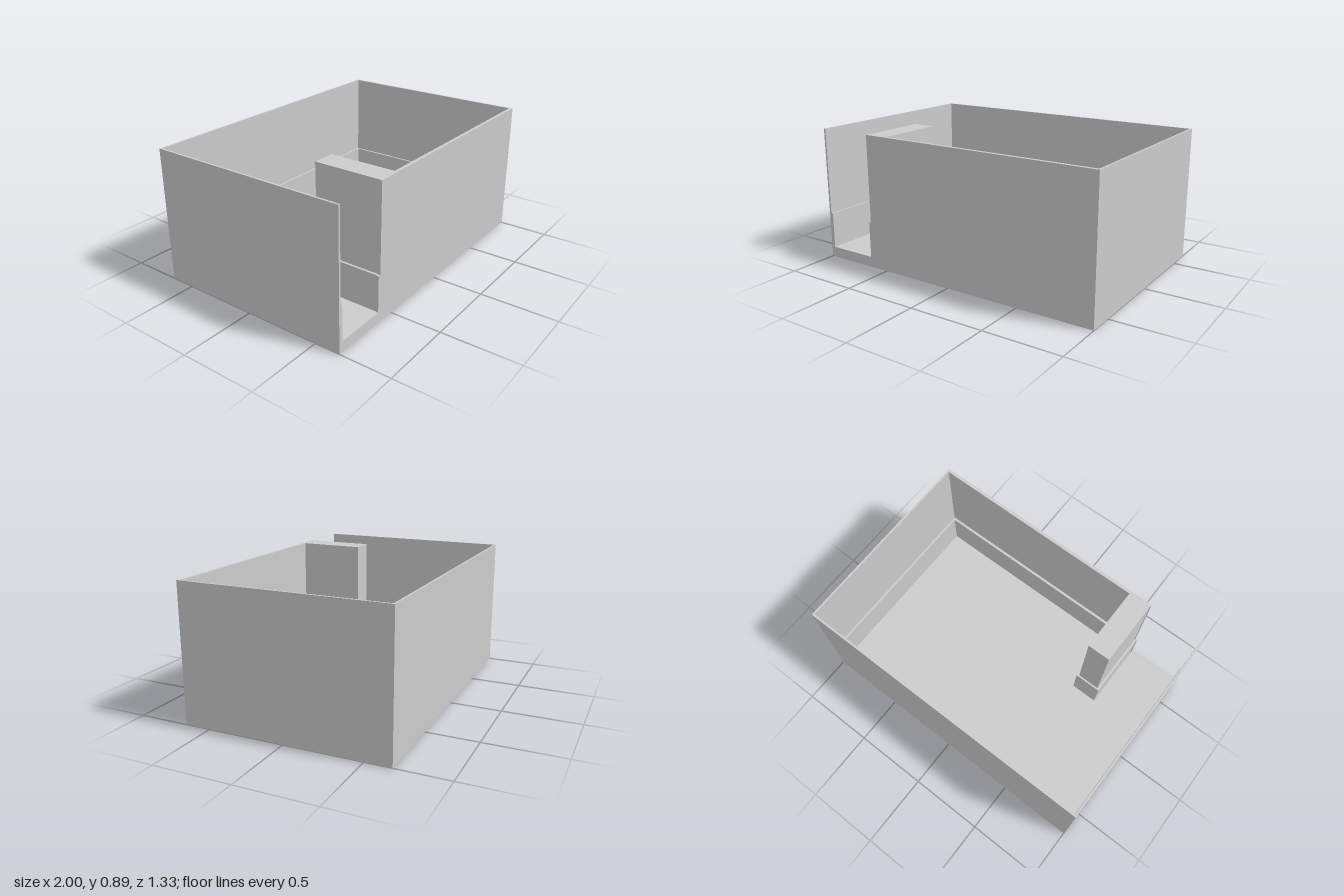
import * as THREE from 'three';

const W = 1, D = 0.667;              // half width, half depth
const FLOOR = 0.07, LEDGE = 0.31, TOP = 0.886;

// Extrude a floor-plan outline of [x, z] points between two heights.
function extrudePlan(name, points, y0, y1, material) {
  const shape = new THREE.Shape(points.map(([x, z]) => new THREE.Vector2(x, -z)));
  const geometry = new THREE.ExtrudeGeometry(shape, { depth: y1 - y0, bevelEnabled: false });
  geometry.rotateX(-Math.PI / 2);
  geometry.translate(0, y0, 0);
  const mesh = new THREE.Mesh(geometry, material);
  mesh.name = name;
  return mesh;
}

// Continuous wall outline: sides, back, front wall and the block beside the doorway.
function wallPlan({ t, front, blockLeft, blockRight, blockBack }) {
  return [
    [-W, D], [-W + t, D],
    [-W + t, -D + t], [W - t, -D + t],
    [W - t, front], [blockRight, front],
    [blockRight, blockBack], [blockLeft, blockBack],
    // small lip at the doorway
    [blockLeft, 0.653], [blockLeft - 0.004, 0.653], [blockLeft - 0.004, D],
    [W, D], [W, -D], [-W, -D],
  ];
}

export function createModel() {
  const model = new THREE.Group();
  model.name = 'openRoom';
  const material = new THREE.MeshStandardMaterial({ color: 0xcccccc, flatShading: true });

  // Floor slab
  model.add(extrudePlan('floor', [[-W, D], [W, D], [W, -D], [-W, -D]], 0, FLOOR, material));

  // Thicker lower walls, ending in a narrow ledge
  model.add(extrudePlan('lowerWalls', wallPlan({
    t: 0.027, front: 0.628, blockLeft: -0.631, blockRight: -0.451, blockBack: 0.197,
  }), FLOOR, LEDGE, material));

  // Thinner upper walls
  model.add(extrudePlan('upperWalls', wallPlan({
    t: 0.013, front: 0.645, blockLeft: -0.616, blockRight: -0.466, blockBack: 0.208,
  }), LEDGE, TOP, material));

  return model;
}
